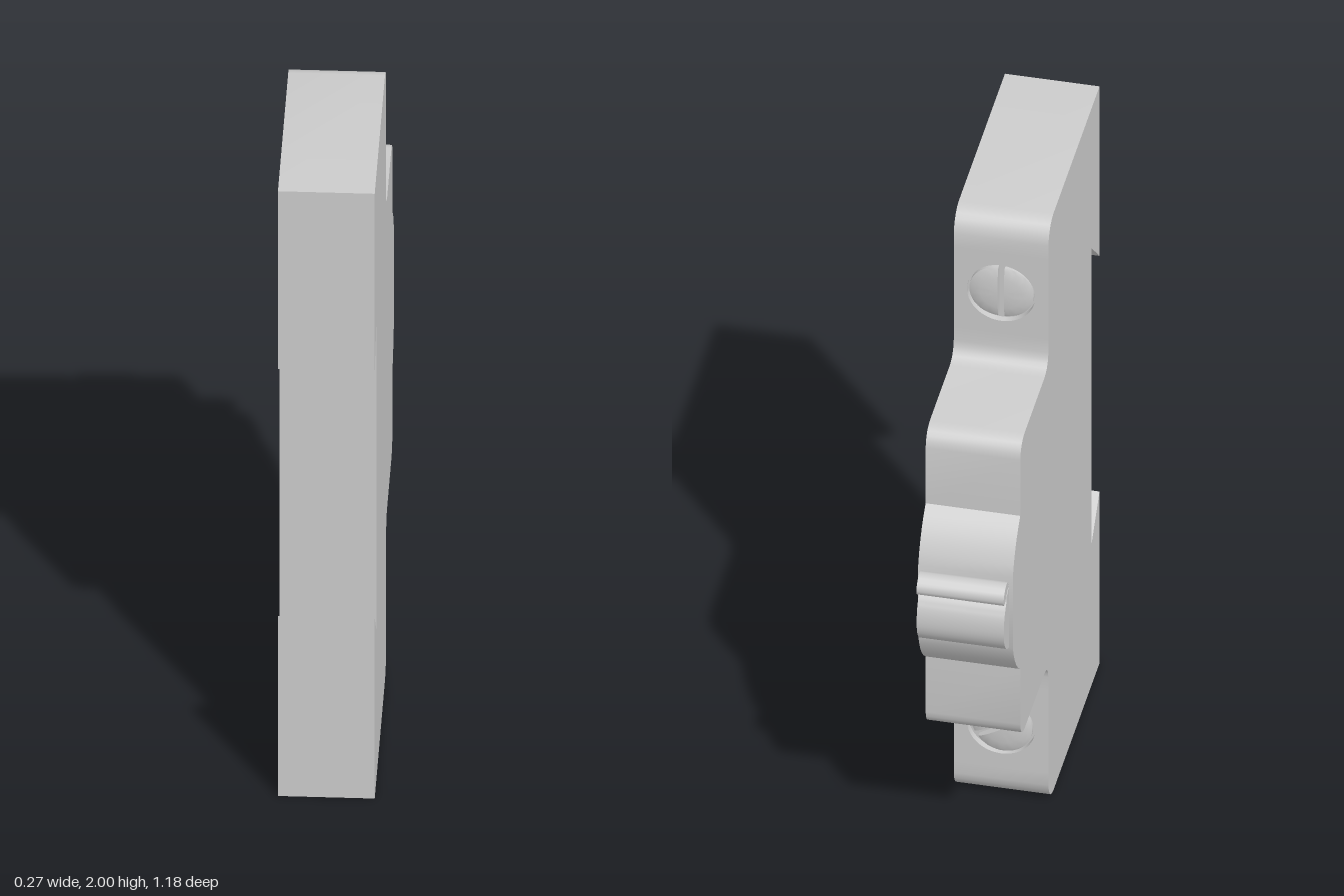
import * as THREE from 'three';
import { toCreasedNormals } from 'three/addons/utils/BufferGeometryUtils.js';

const WIDTH = 0.267;
const FACE = 0.065;      // step face, as distance towards -z
const POCKET = 0.02;     // depth of the screw recess
const mat = new THREE.MeshStandardMaterial({ color: 0xcccccc });
const thinMat = new THREE.MeshStandardMaterial({ color: 0xcccccc, side: THREE.DoubleSide });

function add(parent, name, geometry, material = mat) {
  const mesh = new THREE.Mesh(geometry, material);
  mesh.name = name;
  parent.add(mesh);
  return mesh;
}

// Extrude a side profile (u = -z, y) across the width
function sideExtrude(shape, width, curveSegments) {
  const geo = new THREE.ExtrudeGeometry(shape, { depth: width, bevelEnabled: false, curveSegments });
  geo.translate(0, 0, -width / 2);
  geo.rotateY(Math.PI / 2);
  return toCreasedNormals(geo, 0.6);
}

// Stepped housing with rail notch and shallow pockets behind the screw plates
function bodyShape() {
  const s = new THREE.Shape();
  const notch = (a, b) => {
    s.lineTo(FACE, a);
    s.lineTo(FACE - POCKET, a);
    s.lineTo(FACE - POCKET, b);
    s.lineTo(FACE, b);
  };
  s.moveTo(-0.59, 0);
  s.lineTo(0, 0);
  s.quadraticCurveTo(0.055, 0.005, FACE, 0.065);
  notch(0.11, 0.39);
  s.lineTo(FACE, 0.44);
  s.quadraticCurveTo(0.07, 0.485, 0.115, 0.49);
  s.lineTo(0.37, 0.49);
  s.quadraticCurveTo(0.42, 0.495, 0.425, 0.545);
  s.lineTo(0.425, 0.737);
  s.quadraticCurveTo(0.495, 0.79, 0.52, 0.88);
  s.lineTo(0.52, 1.125);
  s.quadraticCurveTo(0.495, 1.215, 0.425, 1.268);
  s.lineTo(0.425, 1.46);
  s.quadraticCurveTo(0.42, 1.51, 0.37, 1.515);
  s.lineTo(0.115, 1.515);
  s.quadraticCurveTo(0.07, 1.52, FACE, 1.565);
  notch(1.61, 1.89);
  s.lineTo(FACE, 1.935);
  s.quadraticCurveTo(0.055, 1.995, 0, 2);
  s.lineTo(-0.59, 2);
  s.lineTo(-0.59, 1.412);
  s.lineTo(-0.488, 1.515);
  s.lineTo(-0.488, 0.49);
  s.lineTo(-0.59, 0.595);
  s.closePath();
  return s;
}

// Rounded switch knob
function knobShape() {
  const s = new THREE.Shape();
  s.moveTo(0.51, 0.88);
  s.lineTo(0.52, 0.882);
  s.bezierCurveTo(0.57, 0.9, 0.59, 0.94, 0.588, 0.98);
  s.bezierCurveTo(0.587, 1.025, 0.57, 1.045, 0.555, 1.06);
  s.lineTo(0.55, 1.08);
  s.lineTo(0.53, 1.09);
  s.lineTo(0.52, 1.105);
  s.lineTo(0.51, 1.105);
  s.closePath();
  return s;
}

// Small finger lip above the knob
function lipShape() {
  const s = new THREE.Shape();
  s.moveTo(0.522, 1.1);
  s.bezierCurveTo(0.53, 1.13, 0.565, 1.13, 0.58, 1.11);
  s.bezierCurveTo(0.595, 1.1, 0.592, 1.07, 0.58, 1.072);
  s.bezierCurveTo(0.565, 1.074, 0.555, 1.09, 0.522, 1.1);
  return s;
}

// Domed slotted screw made of two half heads
function makeScrew(angle) {
  const screw = new THREE.Group();
  screw.name = 'screw';
  const R = 0.082, top = 0.006, slot = 0.009;
  const profile = [[R, -POCKET], [R, -0.006], [R * 0.9, -0.002], [R * 0.6, 0.003], [R * 0.3, 0.005], [0, top]]
    .map(([r, y]) => new THREE.Vector2(r, y));
  const head = new THREE.Group();
  head.name = 'screwHead';
  head.rotation.x = -Math.PI / 2;
  for (const turn of [0, Math.PI]) {
    const half = new THREE.Group();
    half.name = 'halfHead';
    half.rotation.y = turn;
    const dome = add(half, 'dome', toCreasedNormals(new THREE.LatheGeometry(profile, 20, 0, Math.PI), 0.6), thinMat);
    const outline = [...profile, ...profile.slice(0, -1).reverse().map(p => new THREE.Vector2(-p.x, p.y))];
    const wall = add(half, 'slotWall', new THREE.ShapeGeometry(new THREE.Shape(outline)), thinMat);
    wall.rotation.y = Math.PI / 2;
    dome.position.x = wall.position.x = slot;
    head.add(half);
  }
  screw.add(head);
  screw.rotation.z = angle;
  return screw;
}

// Face plate with a round opening for the screw
function plateGeometry() {
  const w = WIDTH / 2;
  const s = new THREE.Shape([[-w, -0.14], [w, -0.14], [w, 0.14], [-w, 0.14]].map(p => new THREE.Vector2(...p)));
  const hole = new THREE.Path();
  hole.absarc(0, 0, 0.096, 0, Math.PI * 2, true);
  s.holes.push(hole);
  const geo = new THREE.ExtrudeGeometry(s, { depth: POCKET, bevelEnabled: false, curveSegments: 32 });
  return toCreasedNormals(geo, 0.6);
}

export function createModel() {
  const model = new THREE.Group();
  model.name = 'railModule';

  add(model, 'housing', sideExtrude(bodyShape(), WIDTH, 5));
  add(model, 'switchKnob', sideExtrude(knobShape(), 0.246, 8));
  add(model, 'switchLip', sideExtrude(lipShape(), 0.246, 6));

  // Terminal screws on the upper and lower steps
  for (const [y, angle] of [[0.25, 1.03], [1.75, 0]]) {
    const terminal = new THREE.Group();
    terminal.name = 'terminal';
    terminal.position.set(0, y, -FACE);
    add(terminal, 'terminalPlate', plateGeometry());
    terminal.add(makeScrew(angle));
    model.add(terminal);
  }
  return model;
}
